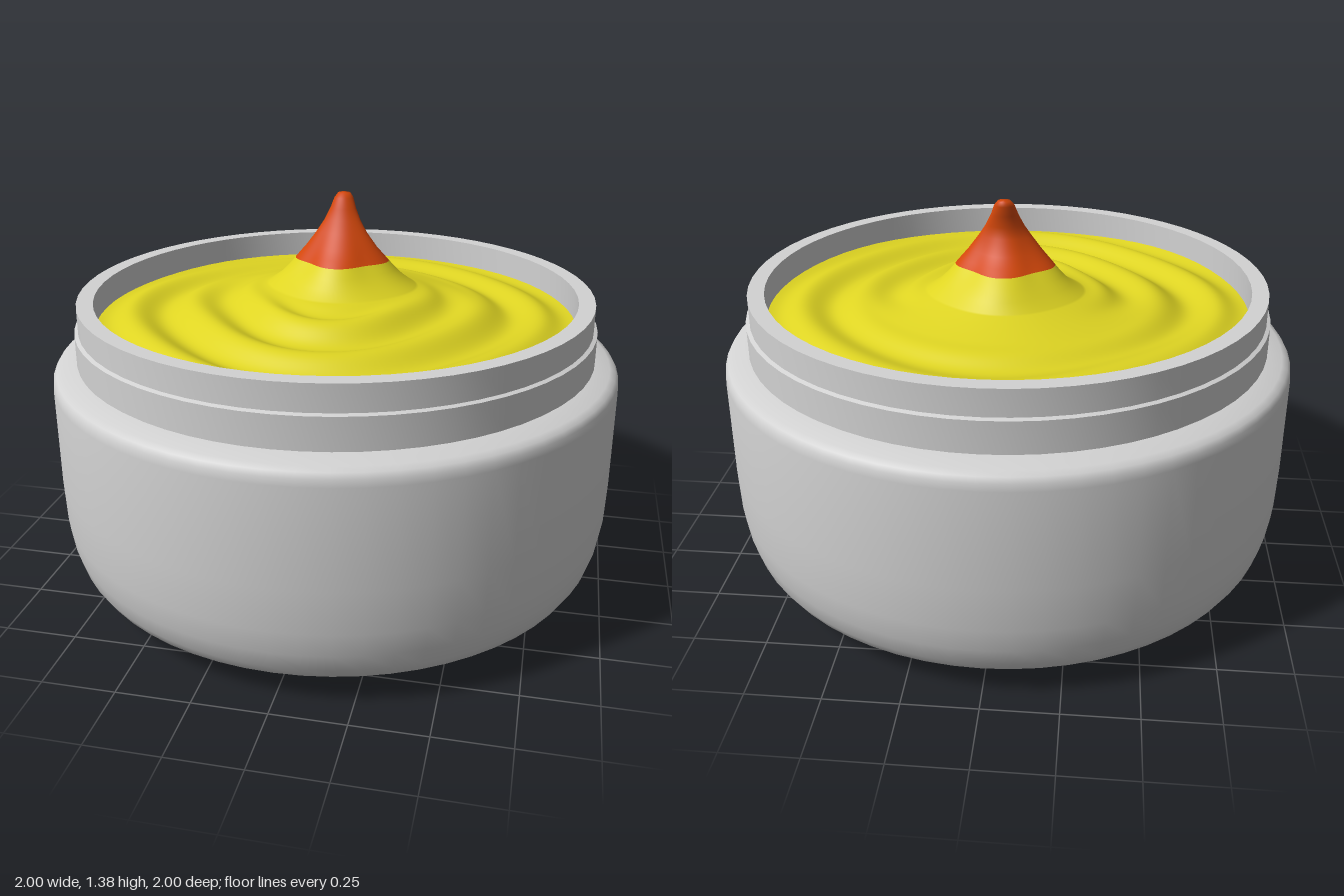
import * as THREE from 'three';
import { toCreasedNormals } from 'three/addons/utils/BufferGeometryUtils.js';

const SIDES = 96;
const { lerp, smoothstep } = THREE.MathUtils;

// Rings run from the peak's tip outward; point(i, angle) gives each vertex.
function loft(ringCount, point) {
  const positions = [], index = [];
  for (let i = 0; i < ringCount; i++) {
    for (let j = 0; j < SIDES; j++) positions.push(...point(i, (j / SIDES) * Math.PI * 2));
  }
  for (let i = 0; i < ringCount - 1; i++) {
    for (let j = 0; j < SIDES; j++) {
      const k = (j + 1) % SIDES;
      const a = i * SIDES + j, b = i * SIDES + k;
      const c = a + SIDES, d = b + SIDES;
      if (i > 0) index.push(a, d, b);
      index.push(a, c, d);
    }
  }
  const geometry = new THREE.BufferGeometry();
  geometry.setAttribute('position', new THREE.Float32BufferAttribute(positions, 3));
  geometry.setIndex(index);
  geometry.computeVertexNormals();
  return geometry;
}

export function createModel() {
  const group = new THREE.Group();
  const jarGrey = new THREE.MeshStandardMaterial({ name: 'jar grey', color: 0xd2d2d2 });
  const creamYellow = new THREE.MeshStandardMaterial({ name: 'cream yellow', color: 0xded422 });
  const tipOrange = new THREE.MeshStandardMaterial({ name: 'tip orange', color: 0xd4470a });

  // Jar: recessed foot, rounded body, stepped neck and open rim
  const profile = [
    [0, 0.05], [0.63, 0.045], [0.68, 0.025], [0.712, 0.005], [0.72, 0.02],
    [0.9, 0.088], [0.935, 0.11], [0.96, 0.15], [0.98, 0.215], [0.993, 0.3],
    [0.998, 0.45], [0.998, 0.79], [0.995, 0.815], [0.985, 0.832], [0.965, 0.842],
    [0.9, 0.855], [0.9, 0.863], [0.913, 0.865], [0.913, 0.97], [0.9, 0.975],
    [0.9, 1.065], [0.843, 1.065], [0.843, 0.88],
  ].map(([r, y]) => new THREE.Vector2(r, y));
  const jar = new THREE.Mesh(toCreasedNormals(new THREE.LatheGeometry(profile, 64), 0.6), jarGrey);
  jar.name = 'jar';
  group.add(jar);

  // Peak rings: height, half width, front z, back z, pinch of the diagonals
  const peak = [
    [1.383, 0, -0.145, -0.145, 0],
    [1.381, 0.022, -0.12, -0.163, 0],
    [1.365, 0.034, -0.107, -0.166, 0],
    [1.33, 0.046, -0.093, -0.158, 0.02],
    [1.29, 0.065, -0.075, -0.15, 0.05],
    [1.25, 0.09, -0.05, -0.153, 0.08],
    [1.2, 0.127, -0.012, -0.187, 0.13],
    [1.17, 0.153, 0.02, -0.225, 0.16],
    [1.15, 0.17, 0.043, -0.253, 0.17],
    [1.12, 0.195, 0.072, -0.29, 0.13],
    [1.09, 0.225, 0.1, -0.32, 0.09],
    [1.06, 0.268, 0.135, -0.345, 0.05],
  ];
  const orangeRings = 8;
  const surfaceRings = 56;

  const point = (i, angle) => {
    const s = Math.sin(angle), c = Math.cos(angle);
    const t = Math.max(0, (i - peak.length + 1) / surfaceRings);
    const [y, rx, front, back, pinch] = peak[Math.min(i, peak.length - 1)];
    const squeeze = 1 - pinch * (1 - t) * (1 - Math.cos(4 * angle)) / 2;
    const x = lerp(rx, 0.843, t) * squeeze * s;
    const z = lerp((front + back) / 2, 0, t) + lerp((front - back) / 2, 0.843, t) * squeeze * c;
    if (t === 0) return [x, y, z];

    // Swirled ripples: slightly square; only the outer fold reaches the back
    const radius = Math.hypot(x, z);
    const wobble = 0.018 * Math.cos(4 * angle) + 0.01 * Math.sin(3 * angle + 0.6);
    const wave = -Math.sin((2 * Math.PI * (radius - 0.335 - wobble)) / 0.215);
    const backFade = lerp(smoothstep(radius, 0.48, 0.62), 1, smoothstep(c, -0.7, 0.3));
    const strength = (0.017 + 0.003 * c) * backFade * smoothstep(t, 0, 0.2);
    const edgeFade = 1 - 0.5 * smoothstep(t, 0.8, 1);
    return [x, 0.975 + 0.085 * (1 - t) ** 2 + strength * edgeFade * wave, z];
  };

  // Cream: one smooth surface, with the top of the peak in orange
  const creamGeometry = loft(peak.length + surfaceRings, point);
  const split = SIDES * 3 + (orangeRings - 1) * SIDES * 6;
  creamGeometry.addGroup(0, split, 0);
  creamGeometry.addGroup(split, creamGeometry.index.count - split, 1);
  const cream = new THREE.Mesh(creamGeometry, [tipOrange, creamYellow]);
  cream.name = 'swirled cream';
  group.add(cream);

  return group;
}
